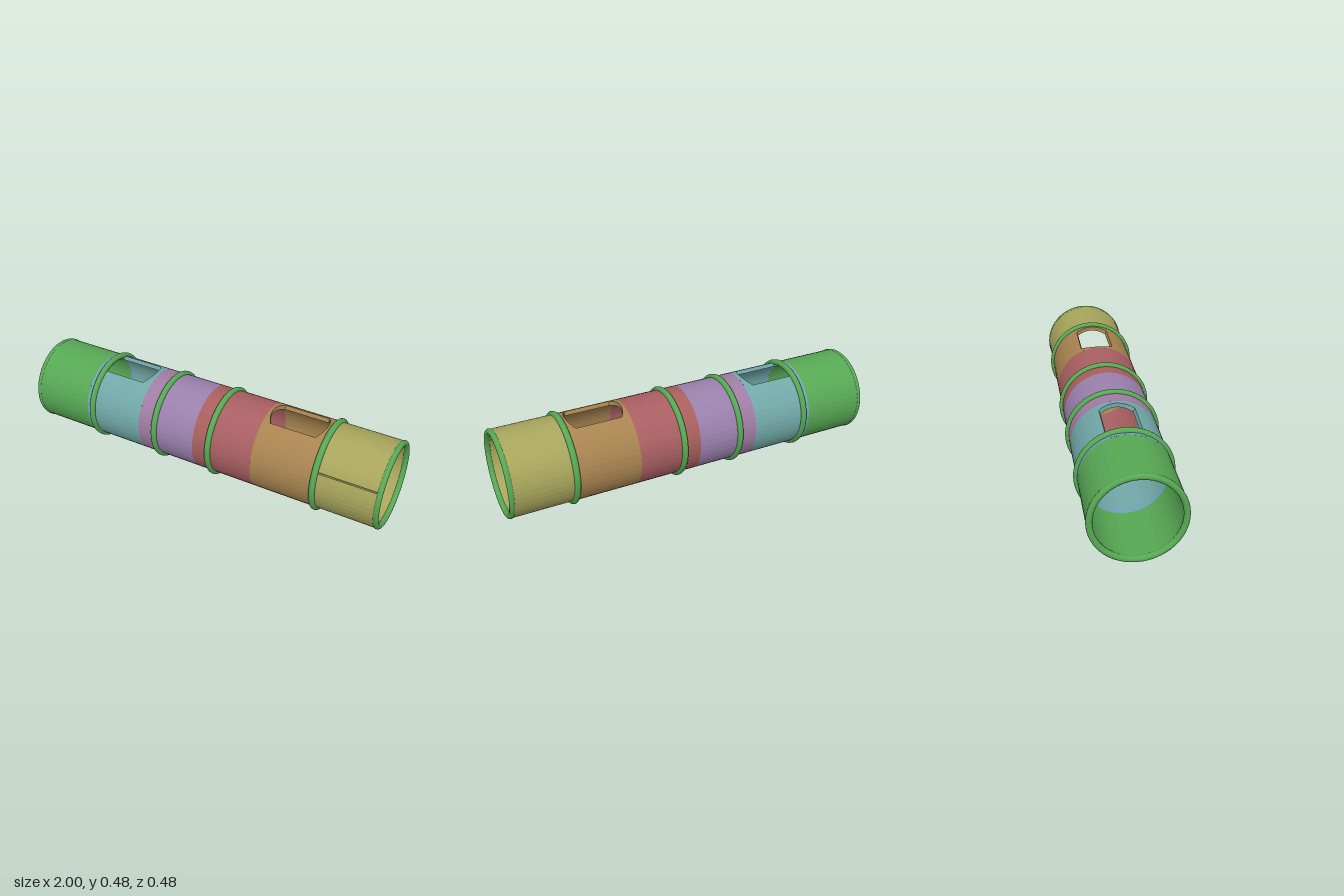
import * as THREE from 'three';

const CY = 0.24, RO = 0.223, RI = 0.201; // axis height, outer and inner radius
const TAU = Math.PI * 2;
const WIN = 0.405;                        // half angle of the top windows
const SLIT = 1.13, GAP = 0.016;           // angle and half width of the slit

const mat = (name, color) => {
  const m = new THREE.MeshStandardMaterial({ color });
  m.name = name;
  return m;
};

const point = (x, t, r) => [x, CY + r * Math.cos(t), r * Math.sin(t)];

// Adds a curved piece of wall between angles t0..t1 and lengths from(t)..to(t)
function addWall(out, t0, t1, n, from, to, { sides = false, capFrom = false, capTo = false } = {}) {
  const quad = (a, b, c, d) => out.push(...a, ...b, ...c, ...a, ...c, ...d);
  for (let i = 0; i < n; i++) {
    const a = t0 + (t1 - t0) * i / n, b = t0 + (t1 - t0) * (i + 1) / n;
    const fa = from(a), fb = from(b), ta = to(a), tb = to(b);
    if (ta - fa < 1e-6 && tb - fb < 1e-6) continue;
    quad(point(fa, a, RO), point(fb, b, RO), point(tb, b, RO), point(ta, a, RO));
    quad(point(fa, a, RI), point(ta, a, RI), point(tb, b, RI), point(fb, b, RI));
    if (capTo) quad(point(ta, a, RI), point(ta, a, RO), point(tb, b, RO), point(tb, b, RI));
    if (capFrom) quad(point(fa, a, RI), point(fb, b, RI), point(fb, b, RO), point(fa, a, RO));
    if (sides && i === 0) quad(point(fa, a, RI), point(fa, a, RO), point(ta, a, RO), point(ta, a, RI));
    if (sides && i === n - 1) quad(point(fb, b, RI), point(tb, b, RI), point(tb, b, RO), point(fb, b, RO));
  }
}

// One coloured length of tube, with an optional window [start, end] or a slit
function section(name, material, x0, x1, { window: win, slit } = {}) {
  const out = [], start = () => x0, end = () => x1;
  if (win) {
    const clamp = x => Math.min(x1, Math.max(x0, x));
    const bow = t => 0.028 * (t / WIN) ** 2; // bowed window ends
    addWall(out, WIN, TAU - WIN, 42, start, end, { sides: true });
    addWall(out, -WIN, WIN, 10, start, t => clamp(win[0] + bow(t)), { capTo: true });
    addWall(out, -WIN, WIN, 10, t => clamp(win[1] - bow(t)), end, { capFrom: true });
  } else if (slit) {
    addWall(out, SLIT + GAP, SLIT + TAU - GAP, 48, start, end, { sides: true });
  } else {
    addWall(out, 0, TAU, 48, start, end);
  }
  const g = new THREE.BufferGeometry();
  g.setAttribute('position', new THREE.Float32BufferAttribute(out, 3));
  g.computeVertexNormals();
  const mesh = new THREE.Mesh(g, material);
  mesh.name = name;
  return mesh;
}

export function createModel() {
  const model = new THREE.Group();
  model.name = 'segmentedTube';
  const green = mat('green', 0x57a854);

  // Tube sections from right end to left end
  const leftWin = { window: [-0.64, -0.347] };
  const rightWin = { window: [0.344, 0.637] };
  model.add(
    section('greenEndSection', green, -0.985, -0.655),
    section('blueBand', mat('light blue', 0x72a3b8), -0.655, -0.62, leftWin),
    section('tealSection', mat('teal', 0x72a8a8), -0.62, -0.325, leftWin),
    section('mauveBand', mat('mauve', 0xa07ca4), -0.325, -0.23),
    section('purpleSection', mat('purple', 0x9a80ac), -0.23, 0),
    section('redBand', mat('brick red', 0xa85f5c), 0, 0.09),
    section('redSection', mat('red', 0xa85f62), 0.09, 0.33),
    section('brownSection', mat('brown', 0xa88450), 0.33, 0.665, rightWin),
    section('yellowEndSection', mat('yellow', 0xa8a55c), 0.665, 0.985, { slit: true })
  );

  // Raised rings around the tube and rounded rims on both ends
  const ring = (name, x, radius, thickness) => {
    const g = new THREE.TorusGeometry(radius, thickness, 14, 64);
    g.rotateY(Math.PI / 2);
    const mesh = new THREE.Mesh(g, green);
    mesh.position.set(x, CY, 0);
    mesh.name = name;
    model.add(mesh);
  };
  [-0.62, -0.23, 0.09, 0.665].forEach((x, i) => ring('raisedRing' + (i + 1), x, 0.2235, 0.016));
  ring('rightRim', -0.985, 0.2115, 0.015);
  ring('leftRim', 0.985, 0.2115, 0.015);

  return model;
}
